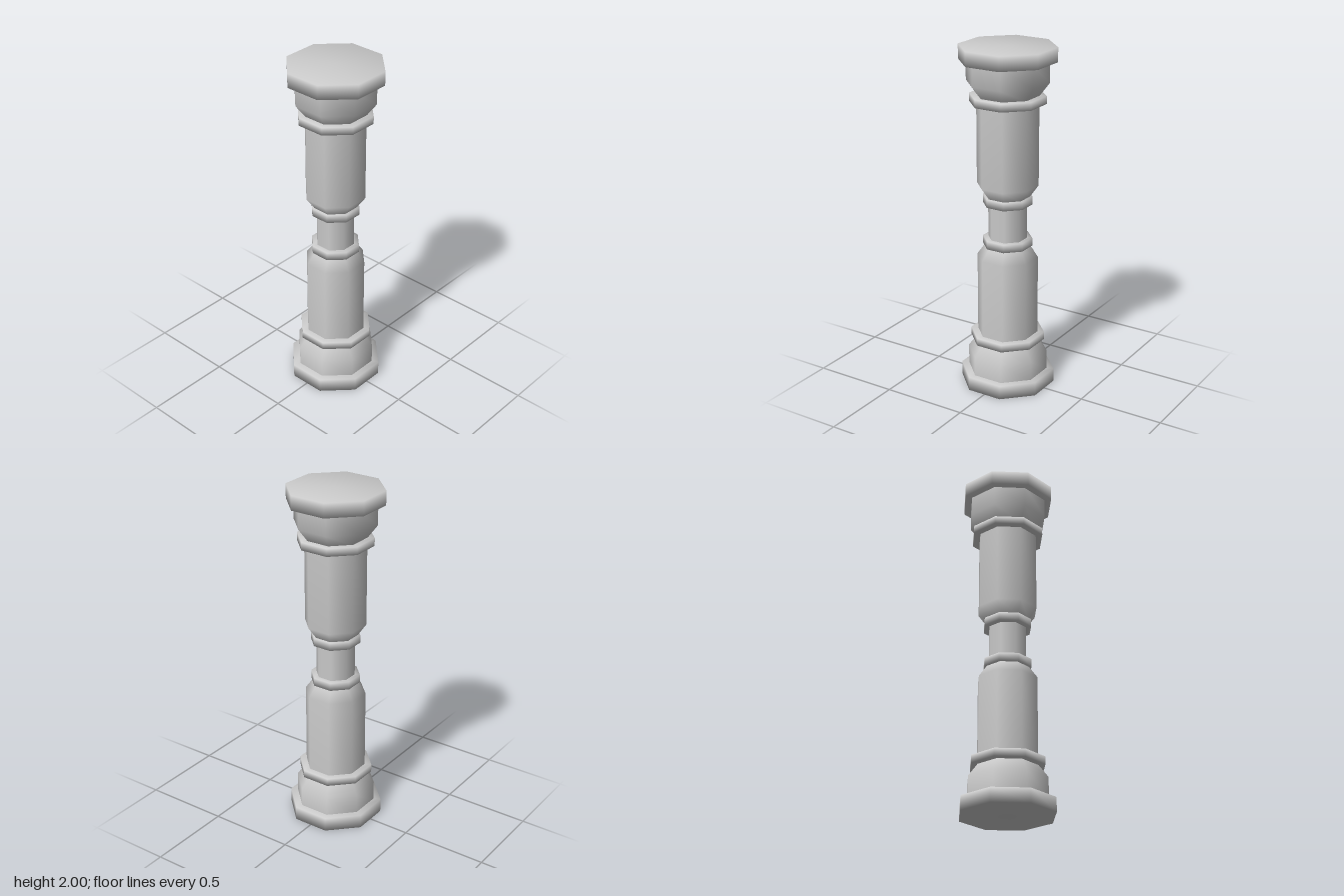
import * as THREE from 'three';

const SIDES = 8;
const CORNER = 1 / Math.cos(Math.PI / SIDES); // flat-to-flat half width -> corner radius

// Profiles of the lower half as [half width, height], listed bottom to top
const PARTS = {
  Plate: [[0, 0], [0.253, 0], [0.253, 0.082], [0.18, 0.082]],
  Block: [[0.214, 0.07], [0.214, 0.197], [0.16, 0.275]],
  Collar: [[0.14, 0.27], [0.199, 0.27], [0.199, 0.315], [0.14, 0.315]],
  Shaft: [[0.162, 0.28], [0.162, 0.784], [0.116, 0.855]],
  Ring: [[0.09, 0.852], [0.131, 0.852], [0.131, 0.899], [0.09, 0.899]],
};

export function createModel() {
  const group = new THREE.Group();
  const material = new THREE.MeshStandardMaterial({ color: 0xcccccc });

  // Eight-sided smooth turning with flat sides facing the axes
  const turn = (name, profile) => {
    const points = profile.map(([w, y]) => new THREE.Vector2(w * CORNER, y));
    const geometry = new THREE.LatheGeometry(points, SIDES, Math.PI / SIDES);
    const mesh = new THREE.Mesh(geometry, material);
    mesh.name = name;
    group.add(mesh);
  };

  // Lower half, and the same turned upside down for the upper half
  for (const [name, profile] of Object.entries(PARTS)) {
    turn('lower' + name, profile);
    turn('upper' + name, profile.map(([w, y]) => [w, 2 - y]).reverse());
  }

  // Slim neck joining the halves
  turn('neck', [[0.103, 0.88], [0.103, 1.12]]);
  return group;
}
